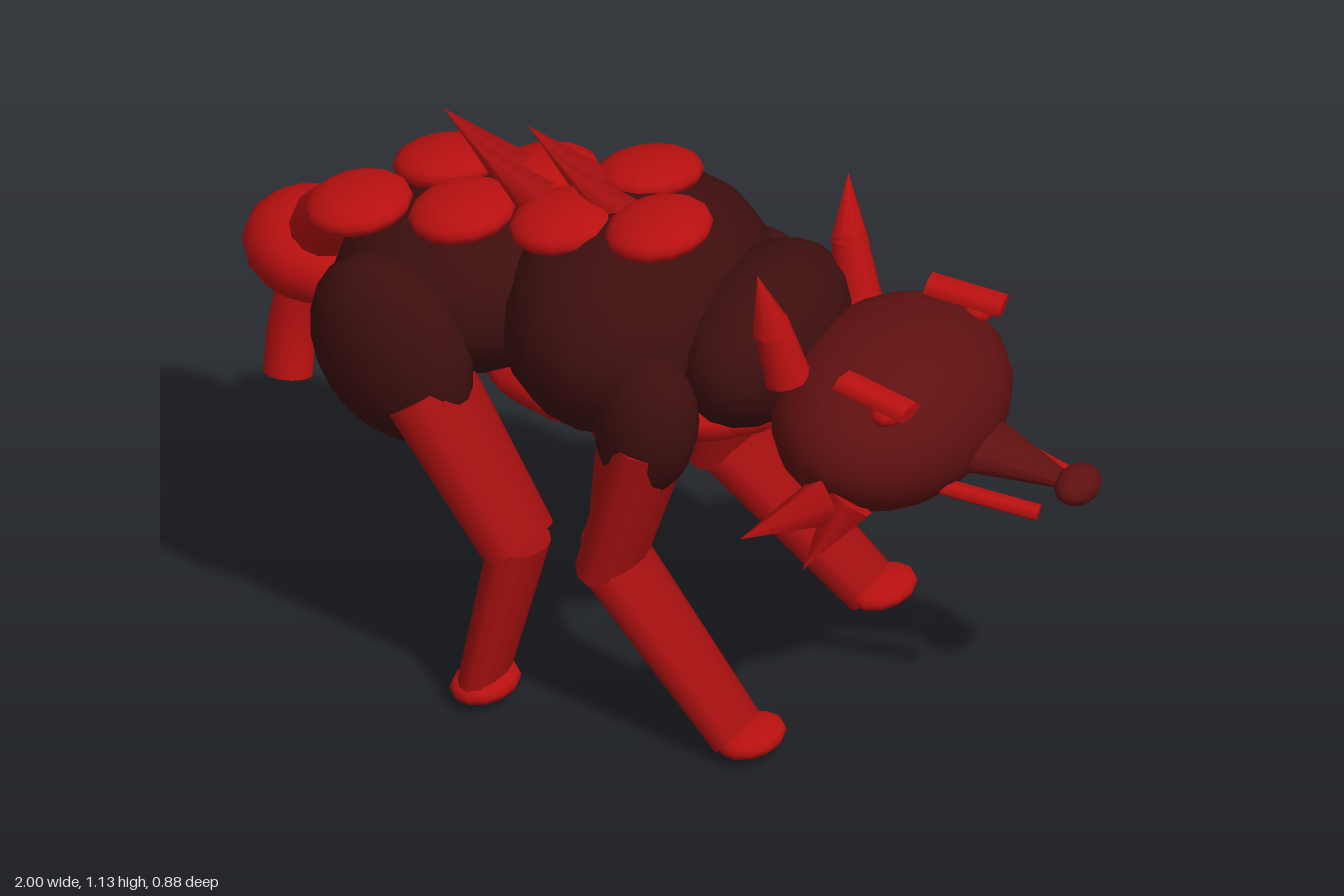
import * as THREE from 'three';

const paint = (name, color) => {
  const m = new THREE.MeshStandardMaterial({ color });
  m.name = name;
  return m;
};

export function createModel() {
  const root = new THREE.Group();
  root.name = 'spikedBeast';
  const hide = paint('darkHide', 0x3d0e0e);
  const face = paint('headHide', 0x5f1010);
  const red = paint('brightRed', 0xb81010);
  const limbRed = paint('limbRed', 0xa20f0f);
  const V = (p) => new THREE.Vector3(...p);

  const add = (name, geometry, material) => {
    const mesh = new THREE.Mesh(geometry, material);
    mesh.name = name;
    root.add(mesh);
    return mesh;
  };

  // Ellipsoid with centre, radii and rotation
  const blob = (name, mat, pos, radii, rot = [0, 0, 0], seg = 16) => {
    const mesh = add(name, new THREE.SphereGeometry(1, seg, Math.round(seg * 0.7)), mat);
    mesh.position.set(...pos);
    mesh.scale.set(...radii);
    mesh.rotation.set(...rot);
    return mesh;
  };

  // Tapered bar from a to b; rz is a multiplier for its width along z
  const bar = (name, mat, a, b, ra, rb, wide = 1, seg = 12) => {
    const from = V(a), to = V(b);
    const y = to.clone().sub(from);
    const geo = new THREE.CylinderGeometry(rb, ra, y.length(), seg);
    geo.scale(1, 1, wide);
    y.normalize();
    const x = new THREE.Vector3().crossVectors(y, new THREE.Vector3(0, 0, 1)).normalize();
    const z = new THREE.Vector3().crossVectors(x, y);
    const mesh = add(name, geo, mat);
    mesh.quaternion.setFromRotationMatrix(new THREE.Matrix4().makeBasis(x, y, z));
    mesh.position.copy(from.add(to).multiplyScalar(0.5));
    return mesh;
  };

  // Torso
  blob('chest', hide, [-0.03, 0.8, 0], [0.27, 0.25, 0.38], [0, 0, -0.1]);
  blob('rump', hide, [-0.4, 0.79, 0], [0.3, 0.19, 0.28], [0, 0, 0.1]);
  blob('neck', hide, [0.25, 0.785, 0], [0.16, 0.175, 0.28], [0, 0, -0.3]);
  blob('belly', red, [-0.02, 0.64, 0], [0.36, 0.09, 0.25]);

  // Head, snout and nose
  blob('head', face, [0.535, 0.685, 0], [0.23, 0.183, 0.345], [0, 0, -0.15], 20);
  bar('snout', face, [0.72, 0.63, 0], [0.95, 0.575, 0], 0.05, 0.008, 2);
  blob('nose', face, [0.952, 0.58, 0], [0.046, 0.036, 0.07], [0, 0, -0.2], 12);

  // Paired parts
  for (const s of [1, -1]) {
    bar('earBase', red, [0.38, 0.8, s * 0.185], [0.35, 0.94, s * 0.205], 0.05, 0.036);
    bar('earTip', red, [0.352, 0.92, s * 0.205], [0.335, 1.06, s * 0.24], 0.042, 0, 1.05, 8);
    bar('brow', red, [0.52, 0.845, s * 0.225], [0.68, 0.815, s * 0.248], 0.019, 0.019, 2.3, 6);
    blob('eye', red, [0.625, 0.8, s * 0.24], [0.035, 0.028, 0.04], [0, 0, 0], 10);
    bar('tusk', red, [0.7, 0.585, s * 0.125], [0.9, 0.545, s * 0.085], 0.015, 0.015, 1.7, 6);
    bar('rearCheekSpike', red, [0.53, 0.615, s * 0.31], [0.37, 0.535, s * 0.415], 0.06, 0, 1, 6);
    bar('frontCheekSpike', red, [0.57, 0.61, s * 0.3], [0.49, 0.465, s * 0.37], 0.055, 0, 1, 6);

    blob('hip', hide, [-0.47, 0.735, s * 0.275], [0.165, 0.215, 0.115], [0, 0, 0.5]);
    blob('shoulder', hide, [0.11, 0.69, s * 0.295], [0.11, 0.16, 0.1], [0, 0, -0.1]);

    // Legs: flattened upper and lower sections with oval feet
    const legs = {
      hind: [[-0.39, 0.65], [-0.175, 0.345], [-0.237, 0.035]],
      fore: [[0.11, 0.65], [0.025, 0.335], [0.34, 0.03]],
    };
    for (const [name, [top, knee, foot]] of Object.entries(legs)) {
      const low = name === 'fore' ? [0.05, 0.34] : [-0.175, 0.355];
      bar(name + 'UpperLeg', limbRed, [...top, s * 0.262], [...knee, s * 0.292], 0.078, 0.064, 1.8);
      bar(name + 'LowerLeg', limbRed, [...low, s * 0.292], [...foot, s * 0.345], 0.058, 0.046, 1.85);
      const fx = name === 'fore' ? 0.365 : -0.23;
      blob(name + 'Foot', red, [fx, 0.036, s * 0.345], [0.07, 0.033, 0.095], [0, 0, 0.08], 12);
    }
  }

  // Back plates, from tail to shoulders
  const plates = [
    [-0.625, 0.945, 0.085], [-0.51, 0.97, -0.11], [-0.39, 0.98, 0.09], [-0.285, 1.0, -0.1],
    [-0.16, 1.01, 0.1], [-0.06, 1.035, -0.12], [0.055, 1.04, 0.1],
  ];
  for (const p of plates) {
    blob('backPlate', red, p, [0.112, 0.045, 0.12], [p[2] * 0.8, 0, 0.12], 14);
  }

  // Swept-back spine spikes
  for (let i = 0; i < 4; i++) {
    const x = -0.49 + i * 0.094, z = i % 2 ? 0.047 : -0.047;
    bar('spineSpike', limbRed, [x + 0.16, 1.015, z], [x, 1.13, z], 0.045, 0, 1.25, 6);
  }

  // Tail with a round joint and a drooping end
  const tube = (name, points, radius) => {
    const curve = new THREE.CatmullRomCurve3(points.map(V));
    add(name, new THREE.TubeGeometry(curve, 10, radius, 12), red);
    const end = add(name + 'Cap', new THREE.CircleGeometry(radius, 12), red);
    end.position.copy(curve.getPoint(1));
    end.lookAt(curve.getPoint(1).add(curve.getTangent(1)));
  };
  tube('tailRoot', [[-0.6, 0.88, 0.02], [-0.7, 0.84, -0.04], [-0.79, 0.76, -0.13], [-0.83, 0.66, -0.19]], 0.07);
  blob('tailJoint', red, [-0.85, 0.645, -0.22], [0.153, 0.105, 0.165], [0, 0, -0.2]);
  tube('tailEnd', [[-0.85, 0.63, -0.22], [-0.885, 0.53, -0.215], [-0.9, 0.43, -0.205], [-0.9, 0.345, -0.19]], 0.052);

  return root;
}
